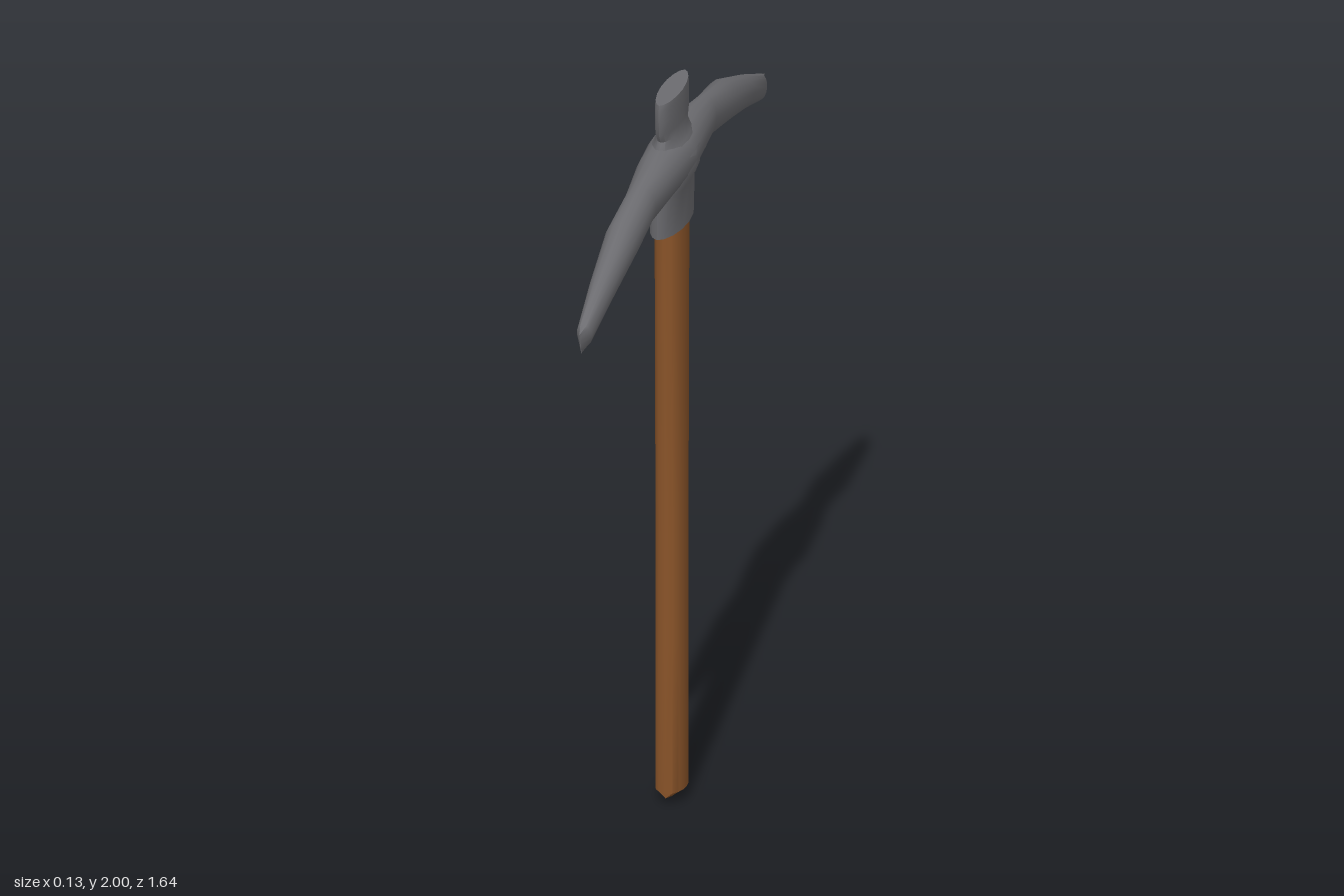
import * as THREE from 'three';
import { toCreasedNormals } from 'three/addons/utils/BufferGeometryUtils.js';

const SIDES = 16;

// Skin a list of rings (each SIDES points) with optional flat end caps
function loft(rings, capStart, capEnd, crease) {
  const pos = [], idx = [];
  const push = (p) => pos.push(p.x, p.y, p.z) / 3 - 1;
  rings.forEach((ring) => ring.forEach(push));
  for (let r = 0; r < rings.length - 1; r++) {
    for (let i = 0; i < SIDES; i++) {
      const a = r * SIDES + i, b = r * SIDES + (i + 1) % SIDES;
      idx.push(a, a + SIDES, b, b, a + SIDES, b + SIDES);
    }
  }
  const cap = (r, flip) => {
    const mid = new THREE.Vector3();
    rings[r].forEach((p) => mid.addScaledVector(p, 1 / SIDES));
    const c = push(mid);
    for (let i = 0; i < SIDES; i++) {
      const a = r * SIDES + i, b = r * SIDES + (i + 1) % SIDES;
      if (flip) idx.push(c, b, a);
      else idx.push(c, a, b);
    }
  };
  if (capStart) cap(0, false);
  if (capEnd) cap(rings.length - 1, true);
  const geo = new THREE.BufferGeometry();
  geo.setAttribute('position', new THREE.Float32BufferAttribute(pos, 3));
  geo.setIndex(idx);
  return toCreasedNormals(geo, crease);
}

// Rounded outline; pinch above 1 narrows it towards a lens
function outline(pinch, place) {
  return Array.from({ length: SIDES }, (_, i) => {
    const t = (i / SIDES) * Math.PI * 2;
    const c = Math.cos(t), s = Math.sin(t);
    return place(Math.sign(c) * Math.abs(c) ** pinch, s);
  });
}

// Horizontal ring: height, half width in x, half depth in z
const level = (pinch) => ([y, a, b]) =>
  outline(pinch, (c, s) => new THREE.Vector3(a * c, y, b * s));

// Upright ring across an arm: z, bottom, top, half width, lean of the section
const across = ([z, lo, hi, a, lean]) =>
  outline(0.95, (c, s) => new THREE.Vector3(
    a * c, (lo + hi) / 2 + s * (hi - lo) / 2, z + lean * s));

export function createModel() {
  const group = new THREE.Group();
  const wood = new THREE.MeshStandardMaterial({ color: 0x8a5429 });
  const iron = new THREE.MeshStandardMaterial({ color: 0x6c6c70 });
  const add = (name, geo, mat) => {
    const mesh = new THREE.Mesh(geo, mat);
    mesh.name = name;
    group.add(mesh);
  };

  // Handle: oval shaft, flaring at the top
  const shaft = [
    [0.04, 0.04, 0.06], [0.46, 0.04, 0.06], [0.8, 0.04, 0.058],
    [1.2, 0.04, 0.064], [1.64, 0.04, 0.076],
  ].map(level(0.8));
  // Shallow wedge at the foot, with its ridge along z
  const foot = shaft[0].map((p) => new THREE.Vector3(
    0, 0.005 + 0.02 * Math.abs(p.z / 0.06), p.z));
  add('handle', loft([foot, ...shaft], false, true, 0.7), wood);

  // Eye of the head: lens-shaped socket, neck and collar
  const eye = [
    [1.63, 0.046, 0.132], [1.74, 0.047, 0.132], [1.78, 0.065, 0.13],
    [1.83, 0.064, 0.128], [1.865, 0.04, 0.118], [1.89, 0.031, 0.1],
    [1.915, 0.03, 0.115], [1.95, 0.03, 0.117], [1.985, 0.03, 0.119],
    [2.0, 0.029, 0.114],
  ].map(level(1.15));
  add('headEye', loft(eye, true, true, 0.75), iron);

  // Two curved arms, running from front to back, each ending in an upright edge
  const arms = [
    [0.81, 1.612, 1.672, 0.001, 0.008],
    [0.775, 1.62, 1.686, 0.02, 0.01],
    [0.62, 1.668, 1.752, 0.033, 0.014],
    [0.44, 1.712, 1.822, 0.045, 0.012],
    [0.28, 1.736, 1.852, 0.042, 0.006],
    [0.13, 1.742, 1.873, 0.057, 0],
    [0, 1.742, 1.876, 0.066, 0],
    [-0.13, 1.742, 1.873, 0.055, 0],
    [-0.28, 1.736, 1.852, 0.035, -0.006],
    [-0.44, 1.712, 1.822, 0.045, -0.012],
    [-0.62, 1.668, 1.752, 0.033, -0.014],
    [-0.775, 1.62, 1.686, 0.02, -0.01],
    [-0.81, 1.612, 1.672, 0.001, -0.008],
  ].map(across);
  add('pickArms', loft(arms, true, true, 0.75), iron);

  return group;
}
